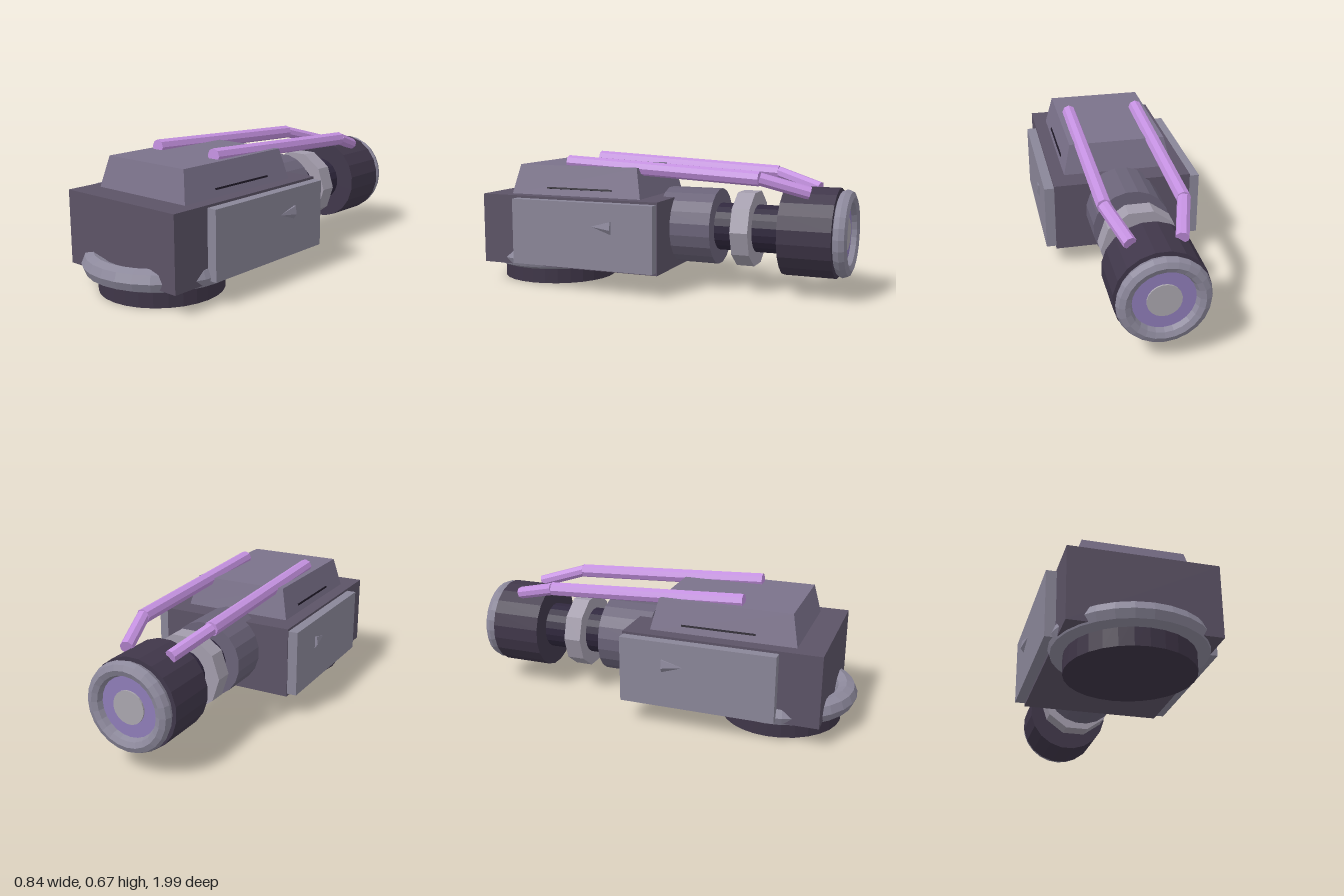
import * as THREE from 'three';

const mat = (color) => new THREE.MeshStandardMaterial({ color, flatShading: true });
const M = {
  body: mat(0x5c5366), cover: mat(0x7b728b), plate: mat(0x8a8698), ring: mat(0x8d899c),
  base: mat(0x3f3648), neck: mat(0x6a6378), dark: mat(0x30283e), cup: mat(0x40374a),
  collar: mat(0xa39dac), rod: mat(0xc491e0), iris: mat(0x8f7db8), glass: mat(0xaaa6ae),
  slit: mat(0x1f1927),
};

export function createModel() {
  const root = new THREE.Group();

  function add(name, geometry, material, x = 0, y = 0, z = 0) {
    const mesh = new THREE.Mesh(geometry, material);
    mesh.name = name;
    mesh.position.set(x, y, z);
    root.add(mesh);
    return mesh;
  }

  // Cylinder lying along z between two depths
  const AXIS_Y = 0.315;
  function barrel(name, radius, z0, z1, sides, material) {
    const g = new THREE.CylinderGeometry(radius, radius, Math.abs(z1 - z0), sides);
    g.rotateY(Math.PI / sides);
    g.rotateX(Math.PI / 2);
    return add(name, g, material, 0, AXIS_Y, (z0 + z1) / 2);
  }

  // Straight rod between two points
  function rod(name, a, b, r) {
    const dir = b.clone().sub(a);
    const mesh = add(name, new THREE.CylinderGeometry(r, r, dir.length(), 8), M.rod);
    mesh.position.copy(a).add(b).multiplyScalar(0.5);
    mesh.quaternion.setFromUnitVectors(new THREE.Vector3(0, 1, 0), dir.normalize());
  }

  // Main housing
  add('housing', new THREE.BoxGeometry(0.706, 0.362, 0.99), M.body, 0, 0.286, 0.38);

  // Tapered top cover: pull in the upper corners of a box
  const cover = new THREE.BoxGeometry(0.57, 0.153, 0.735);
  const p = cover.attributes.position;
  for (let i = 0; i < p.count; i++) {
    if (p.getY(i) > 0) p.setXYZ(i, p.getX(i) * 0.87, p.getY(i), p.getZ(i) * 0.91);
  }
  cover.computeVertexNormals();
  add('topCover', cover, M.cover, 0, 0.543, 0.3725);

  // Objective at the bottom: foot and round rim
  add('objectiveFoot', new THREE.CylinderGeometry(0.303, 0.303, 0.13, 28), M.base, 0, 0.065, 0.617);
  const rim = new THREE.TorusGeometry(0.322, 0.056, 8, 28);
  rim.rotateX(Math.PI / 2);
  add('objectiveRim', rim, M.ring, 0, 0.136, 0.617);

  // Eyepiece barrel
  barrel('neckSleeve', 0.194, -0.05, -0.325, 20, M.neck);
  barrel('neckTube', 0.12, -0.3, -0.7, 20, M.dark);
  barrel('focusCollar', 0.194, -0.43, -0.52, 10, M.collar);
  barrel('eyeCup', 0.222, -0.67, -0.93, 20, M.cup);
  add('eyeCupRim', new THREE.TorusGeometry(0.18, 0.036, 8, 24), M.ring, 0, AXIS_Y, -0.962);
  barrel('eyeIris', 0.155, -0.92, -0.962, 24, M.iris);
  barrel('eyeGlass', 0.08, -0.95, -0.97, 20, M.glass);

  // Mirrored side parts
  for (const s of [1, -1]) {
    const side = s > 0 ? 'left' : 'right';
    add(side + 'SidePlate', new THREE.BoxGeometry(0.07, 0.335, 0.78), M.plate, s * 0.368, 0.2875, 0.28);

    const stud = new THREE.ConeGeometry(0.037, 0.11, 5);
    stud.rotateX(Math.PI / 2);
    stud.scale(0.5, 1, 1);
    add(side + 'Stud', stud, M.ring, s * 0.402, 0.337, 0.165);

    const slit = add(side + 'Slit', new THREE.BoxGeometry(0.008, 0.009, 0.37), M.slit, s * 0.277, 0.504, 0.35);
    slit.rotation.z = s * 0.24;

    // Bent guide rod
    const start = new THREE.Vector3(s * 0.187, 0.634, 0.45);
    const bend = new THREE.Vector3(s * 0.185, 0.584, -0.575);
    const end = new THREE.Vector3(s * 0.117, 0.518, -0.805);
    rod(side + 'GuideRod', start, bend, 0.036);
    rod(side + 'GuideRodTip', bend, end, 0.032);
  }

  return root;
}
